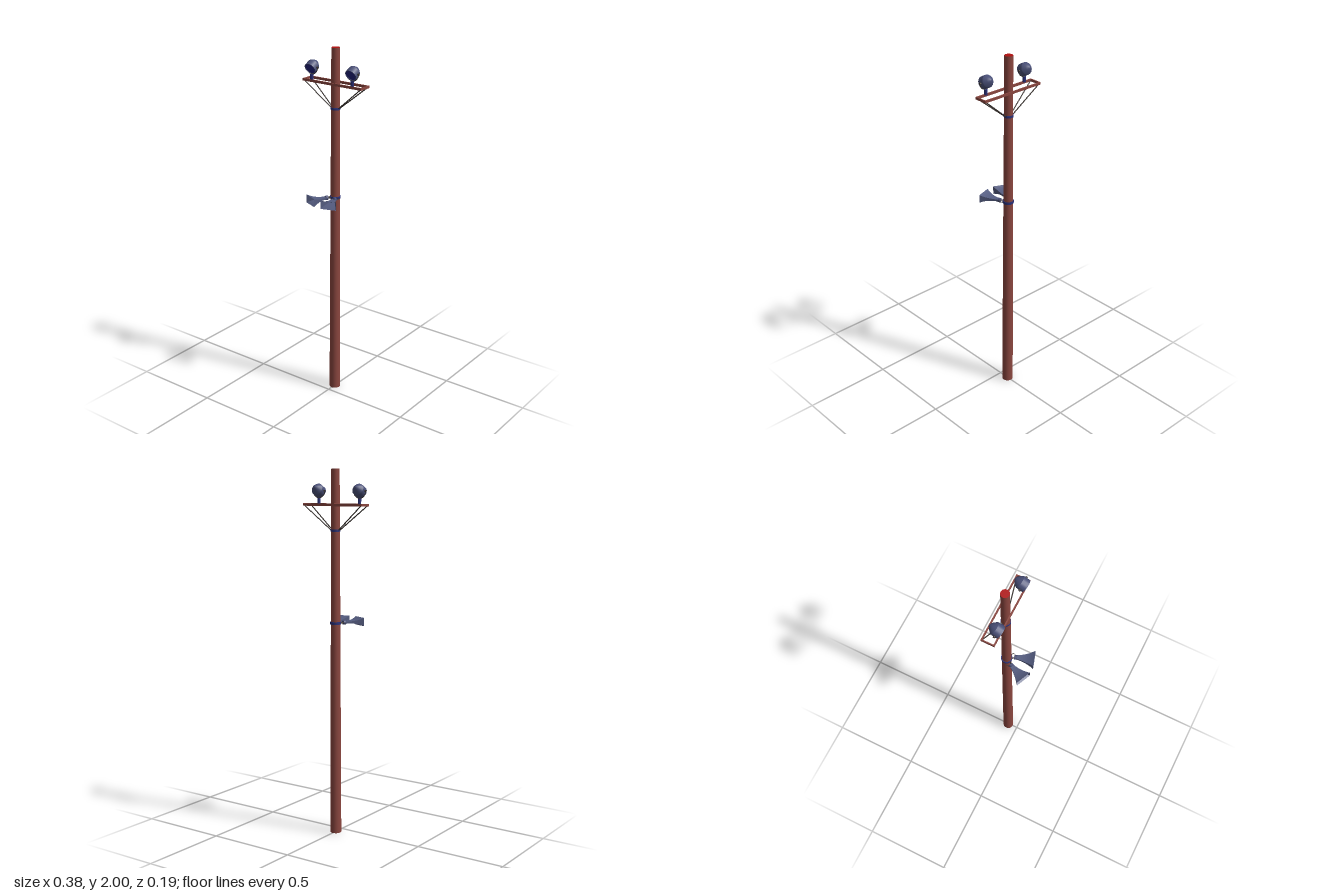
import * as THREE from 'three';

const mat = (color, extra = {}) => {
  const m = new THREE.MeshStandardMaterial({ color });
  return Object.assign(m, extra);
};
const rust = mat(0x8a463f);
const capRed = mat(0xb01010);
const steel = mat(0x4a5078);
const darkBlue = mat(0x2a3078);
const strutMat = mat(0x3d3632);
const lensMat = mat(0x20207a);
const hornMat = mat(0x545c80, { flatShading: true, side: THREE.DoubleSide });

const POLE_Z = -0.06;
const V = (x, y, z) => new THREE.Vector3(x, y, z);

function add(parent, name, geometry, material, x = 0, y = 0, z = 0) {
  const mesh = new THREE.Mesh(geometry, material);
  mesh.name = name;
  mesh.position.set(x, y, z);
  parent.add(mesh);
  return mesh;
}

// Round bar between two points
function rod(parent, name, a, b, r, material) {
  const dir = b.clone().sub(a);
  const mesh = add(parent, name, new THREE.CylinderGeometry(r, r, dir.length(), 8), material);
  mesh.position.copy(a).add(b).multiplyScalar(0.5);
  mesh.quaternion.setFromUnitVectors(V(0, 1, 0), dir.normalize());
  return mesh;
}

// Flaring rectangular horn along +z
function hornGeometry(length, steps = 10) {
  const pos = [], index = [];
  for (let i = 0; i <= steps; i++) {
    const t = i / steps;
    const w = 0.011 + 0.033 * Math.pow(t, 1.6);
    const h = 0.005 + 0.018 * Math.pow(t, 3);
    for (const [sx, sy] of [[-1, -1], [1, -1], [1, 1], [-1, 1]]) pos.push(sx * w, sy * h, t * length);
  }
  for (let i = 0; i < steps; i++) {
    for (let k = 0; k < 4; k++) {
      const a = i * 4 + k, b = i * 4 + (k + 1) % 4;
      index.push(a, b, b + 4, a, b + 4, a + 4);
    }
  }
  index.push(0, 2, 1, 0, 3, 2);
  const g = new THREE.BufferGeometry();
  g.setAttribute('position', new THREE.Float32BufferAttribute(pos, 3));
  g.setIndex(index);
  g.computeVertexNormals();
  return g;
}

function createHorn(x, angle) {
  const horn = new THREE.Group();
  horn.name = 'hornSpeaker';
  horn.position.set(x, 1.18, -0.02);
  horn.rotation.y = angle;
  add(horn, 'hornFlare', hornGeometry(0.102), hornMat);
  const driver = add(horn, 'hornDriver', new THREE.CylinderGeometry(0.012, 0.012, 0.014, 12), steel, 0, 0, 0.002);
  driver.rotation.x = Math.PI / 2;
  return horn;
}

// Floodlight tilted downward, on a U-shaped yoke
function createLamp(x) {
  const lamp = new THREE.Group();
  lamp.name = 'floodlight';
  lamp.position.set(x, 1.885, -0.032);

  const head = new THREE.Group();
  head.name = 'lampHead';
  head.rotation.x = 0.49;
  lamp.add(head);
  const profile = [[0, -0.047], [0.009, -0.045], [0.02, -0.035], [0.029, -0.025], [0.0335, -0.018],
    [0.0335, -0.018], [0.0335, 0.018], [0.0335, 0.018], [0.030, 0.018], [0.030, 0.015]];
  const body = add(head, 'lampBody',
    new THREE.LatheGeometry(profile.map(([r, y]) => new THREE.Vector2(r, y)), 16), steel);
  body.rotation.x = Math.PI / 2;
  add(head, 'lampLens', new THREE.CircleGeometry(0.031, 16), lensMat, 0, 0, 0.0155);

  const yoke = add(lamp, 'lampYoke', new THREE.TorusGeometry(0.0385, 0.002, 6, 20, Math.PI), strutMat);
  yoke.rotation.z = Math.PI;
  for (const s of [-1, 1]) {
    const knob = add(lamp, 'pivotKnob', new THREE.CylinderGeometry(0.005, 0.005, 0.008, 10), strutMat, s * 0.037, 0, 0);
    knob.rotation.z = Math.PI / 2;
  }
  add(lamp, 'lampFoot', new THREE.CylinderGeometry(0.009, 0.009, 0.03, 12), darkBlue, 0, -0.054, 0);
  return lamp;
}

export function createModel() {
  const model = new THREE.Group();
  model.name = 'utilityPole';

  // Tapered pole with red ends
  add(model, 'pole', new THREE.CylinderGeometry(0.0225, 0.031, 2, 24, 1, true), rust, 0, 1, POLE_Z);
  const top = add(model, 'poleTop', new THREE.CircleGeometry(0.0225, 24), capRed, 0, 2, POLE_Z);
  top.rotation.x = -Math.PI / 2;
  const bottom = add(model, 'poleBottom', new THREE.CircleGeometry(0.031, 24), capRed, 0, 0, POLE_Z);
  bottom.rotation.x = Math.PI / 2;

  // Clamps around the pole
  add(model, 'strutCollar', new THREE.CylinderGeometry(0.0265, 0.0265, 0.012, 24), darkBlue, 0, 1.677, POLE_Z);
  add(model, 'hornCollar', new THREE.CylinderGeometry(0.03, 0.03, 0.014, 24), darkBlue, 0, 1.18, POLE_Z);

  // Rectangular crossarm frame
  const frame = new THREE.Group();
  frame.name = 'crossarm';
  model.add(frame);
  for (const z of [-0.0925, -0.0265]) {
    add(frame, 'longBar', new THREE.BoxGeometry(0.38, 0.013, 0.007), rust, 0, 1.812, z);
  }
  for (const s of [-1, 1]) {
    add(frame, 'endBar', new THREE.BoxGeometry(0.006, 0.013, 0.066), rust, s * 0.187, 1.812, -0.0595);
    // Diagonal struts down to the collar
    for (const d of [-1, 1]) {
      rod(frame, 'strut', V(s * 0.182, 1.808, POLE_Z + d * 0.031), V(s * 0.022, 1.677, POLE_Z + d * 0.006), 0.003, strutMat);
    }
  }

  model.add(createLamp(-0.135), createLamp(0.129));

  // Two horn speakers, splayed outward
  model.add(createHorn(-0.027, -0.42), createHorn(0.024, 0.31));

  // Bent wire brackets holding the horns
  for (const s of [-1, 1]) {
    const curve = new THREE.CatmullRomCurve3([
      V(s * 0.024, 1.18, -0.046), V(s * 0.036, 1.18, -0.042), V(s * 0.038, 1.18, -0.032), V(s * 0.03, 1.18, -0.02)]);
    add(model, 'hornBracket', new THREE.TubeGeometry(curve, 12, 0.0018, 6), strutMat);
    rod(model, 'hornStay', V(s * 0.006, 1.18, -0.034), V(s * 0.026, 1.18, -0.022), 0.003, strutMat);
  }
  return model;
}
